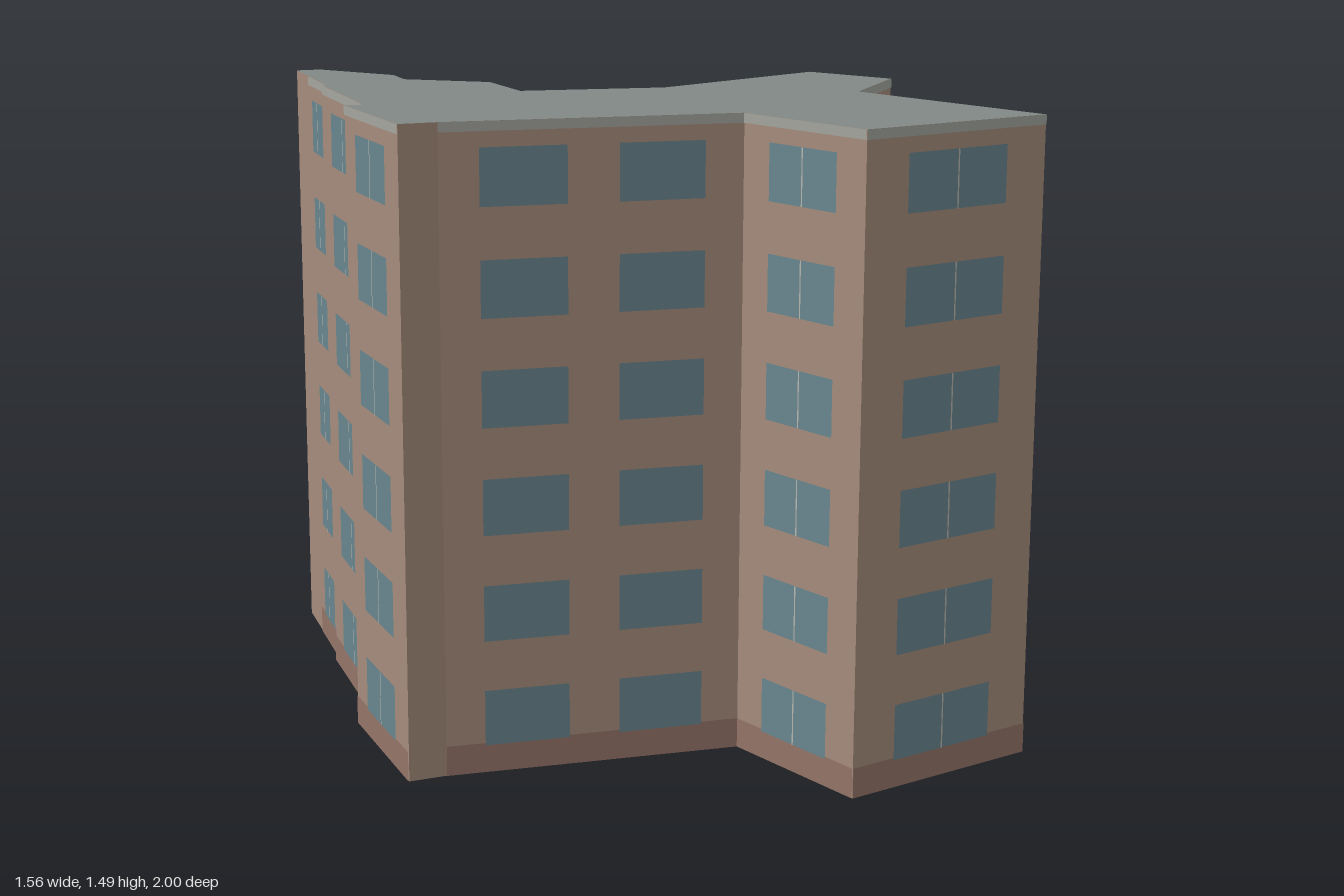
import * as THREE from 'three';

const HEIGHT = 1.487, FLOORS = 6, FLOOR_STEP = 0.247;
const SILL = 0.065, WINDOW_H = 0.13;

const mat = (color, side = THREE.FrontSide) => new THREE.MeshStandardMaterial({ color, side });

// Window layouts: [start, end, divided] as fractions of the wall length
const ONE = [[0.225, 0.775, true]];
const TWO = [[0.13, 0.415, false], [0.585, 0.87, false]];

// Footprint corners [x, z, windows on the wall to the next corner]; null = blank wall
const CORNERS = [
  [-0.195, -1.0, null],
  [-0.135, -0.98, ONE, true],
  [-0.09, -0.725, null],
  [-0.14, -0.615, null],
  [-0.03, -0.41, null],
  [-0.12, -0.19, ONE],
  [0.195, -0.015, TWO],
  [0.765, -0.06, ONE],
  [0.775, 0.21, ONE],
  [0.467, 0.375, TWO],
  [0.39, 0.995, ONE],
  [-0.12, 0.922, ONE],
  [-0.075, 0.52, TWO],
  [-0.695, 0.205, null],
  [-0.78, 0.175, ONE],
  [-0.63, -0.212, null],
  [-0.59, -0.19, ONE],
  [-0.388, -0.625, null],
  [-0.378, -0.62, ONE],
  [-0.268, -0.848, null],
];

export function createModel() {
  const model = new THREE.Group();
  model.name = 'apartmentBlock';

  const wallMat = mat(0xa68c7c, THREE.DoubleSide);
  const roofMat = mat(0x818985, THREE.DoubleSide);
  const baseMat = mat(0x947468);
  const corniceMat = mat(0xa3a59d);
  const glassMat = mat(0x69868e);
  const mullionMat = mat(0xb9b8ae);

  // Flat panel on a wall, standing out by a hair
  const panel = (parent, name, w, h, x, y, out, material) => {
    const mesh = new THREE.Mesh(new THREE.PlaneGeometry(w, h), material);
    mesh.name = name;
    mesh.position.set(x, y, out);
    parent.add(mesh);
  };

  CORNERS.forEach(([ax, az, windows], i) => {
    const [bx, bz] = CORNERS[(i + 1) % CORNERS.length];
    const dx = bx - ax, dz = bz - az, length = Math.hypot(dx, dz);
    const wall = new THREE.Group();
    wall.name = windows ? 'windowWall' : 'blankWall';
    wall.position.set((ax + bx) / 2, 0, (az + bz) / 2);
    wall.rotation.y = Math.atan2(dz, -dx); // local +z faces outwards
    model.add(wall);

    panel(wall, 'wallFace', length, HEIGHT, 0, HEIGHT / 2, 0, wallMat);
    if (!windows) return;

    // Plinth and cornice bands
    panel(wall, 'plinth', length, 0.07, 0, 0.035, 0.002, baseMat);
    panel(wall, 'cornice', length, 0.022, 0, HEIGHT - 0.011, 0.002, corniceMat);

    // One row of windows per floor
    for (let floor = 0; floor < FLOORS; floor++) {
      const y = SILL + WINDOW_H / 2 + floor * FLOOR_STEP;
      for (const [start, end, divided] of windows) {
        const x = length * (0.5 - (start + end) / 2);
        panel(wall, 'window', length * (end - start), WINDOW_H, x, y, 0.003, glassMat);
        if (divided) panel(wall, 'mullion', 0.004, WINDOW_H, x, y, 0.004, mullionMat);
      }
    }
  });

  // Flat roof over the whole footprint
  const outline = new THREE.Shape(CORNERS.map(([x, z]) => new THREE.Vector2(x, -z)));
  const roof = new THREE.Mesh(new THREE.ShapeGeometry(outline), roofMat);
  roof.name = 'roof';
  roof.rotation.x = -Math.PI / 2;
  roof.position.y = HEIGHT;
  model.add(roof);

  return model;
}
